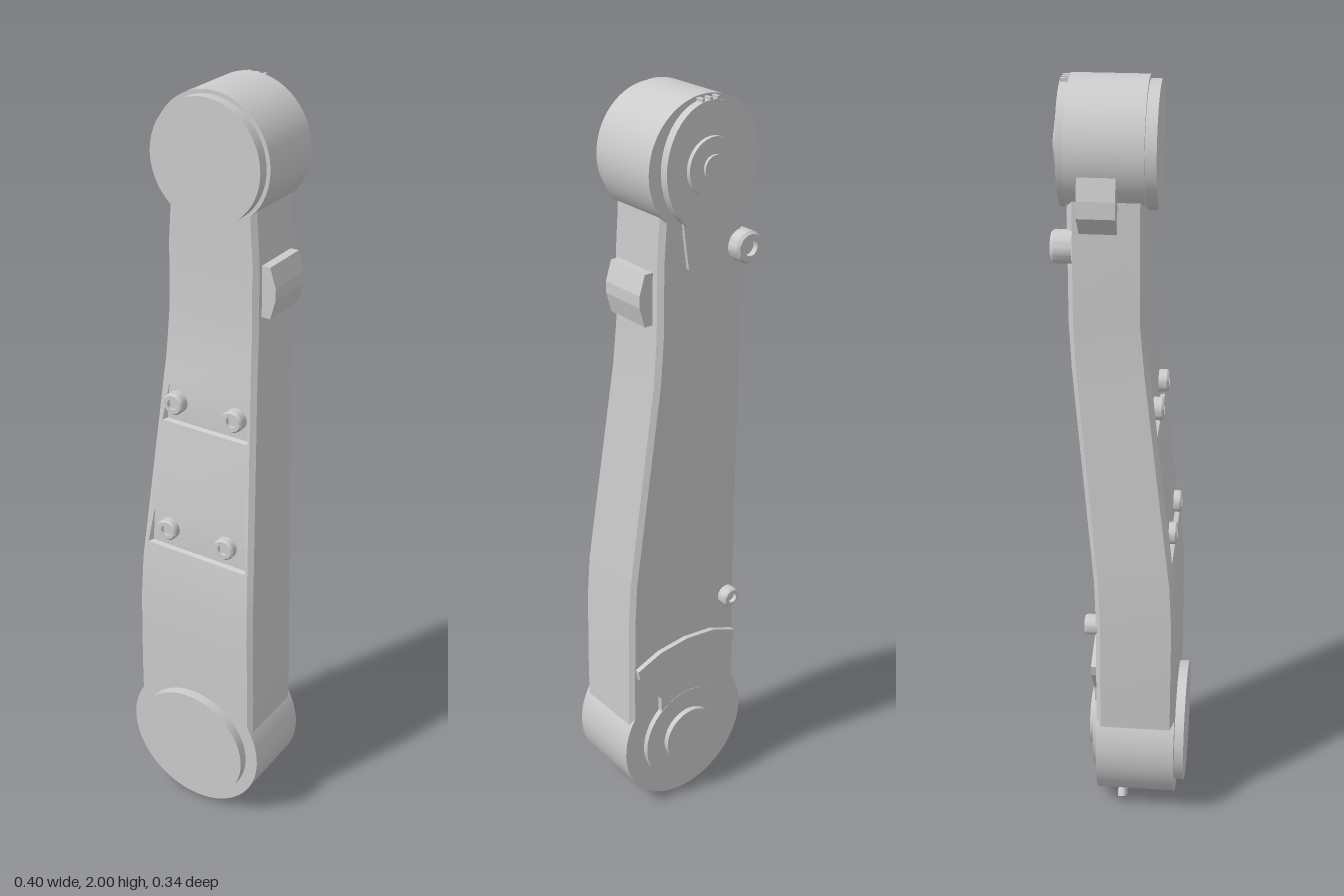
import * as THREE from 'three';
import { toCreasedNormals } from 'three/addons/utils/BufferGeometryUtils.js';

const material = new THREE.MeshStandardMaterial({ color: 0xcccccc, side: THREE.DoubleSide });

export function createModel() {
  const group = new THREE.Group();
  const add = (name, geometry, x = 0, y = 0, z = 0) => {
    const mesh = new THREE.Mesh(geometry, material);
    mesh.name = name;
    mesh.position.set(x, y, z);
    group.add(mesh);
    return mesh;
  };
  // Round disc whose axis runs along z, between two depths
  const disc = (name, y, r, z0, z1, sx = 1) => {
    const g = new THREE.CylinderGeometry(r, r, z1 - z0, 64).rotateX(Math.PI / 2);
    return add(name, g.scale(sx, 1, 1), 0, y, (z0 + z1) / 2);
  };
  // Flat shape pushed out along z
  const plate = (name, points, z0, z1) => {
    const shape = new THREE.Shape(points.map(([x, y]) => new THREE.Vector2(x, y)));
    return add(name, new THREE.ExtrudeGeometry(shape, { depth: z1 - z0, bevelEnabled: false }), 0, 0, z0);
  };

  // Arm body: tapered, S-bent loft with two pockets let into the front
  const stations = [ // y, half width, front z, back z
    [0.2, 0.18, 0.145, -0.065], [0.4, 0.18, 0.145, -0.065], [0.62, 0.176, 0.145, -0.065],
    [0.74, 0.172, 0.138, -0.069], [1.32, 0.133, 0.067, -0.122], [1.44, 0.129, 0.056, -0.128],
    [1.62, 0.127, 0.055, -0.128], [1.72, 0.12, 0.055, -0.128], [1.84, 0.12, 0.055, -0.128]];
  const sample = (y) => {
    let i = 0;
    while (i < stations.length - 2 && stations[i + 1][0] < y) i++;
    const [a, b] = [stations[i], stations[i + 1]];
    const t = (y - a[0]) / (b[0] - a[0]);
    return a.map((v, k) => v + (b[k] - v) * t);
  };
  const pockets = [[0.8, 0.9], [1.15, 1.25]];
  const levels = stations.map((s) => s[0]);
  pockets.forEach(([lo, hi]) => levels.push(lo - 0.003, lo, hi));
  levels.sort((a, b) => a - b);
  const loops = levels.map((y) => {
    const [, w, f, b] = sample(y);
    const pocket = pockets.find(([lo, hi]) => y >= lo && y <= hi);
    const floor = pocket ? sample(pocket[1])[2] : f;
    const c = 0.012;
    return [[-w, f - c], [-w + c, f], [-w + 0.018, f], [-w + 0.026, floor],
      [w - 0.026, floor], [w - 0.018, f], [w - c, f], [w, f - c],
      [w, b + c], [w - c, b], [-w + c, b], [-w, b + c]].map(([x, z]) => [x, y, z]);
  });
  const n = loops[0].length;
  const index = [];
  for (let j = 0; j < loops.length - 1; j++) {
    for (let k = 0; k < n; k++) {
      const a = j * n + k, b = j * n + (k + 1) % n;
      index.push(a, b, b + n, a, b + n, a + n);
    }
  }
  const bodyGeometry = new THREE.BufferGeometry();
  bodyGeometry.setAttribute('position', new THREE.Float32BufferAttribute(loops.flat(2), 3));
  bodyGeometry.setIndex(index);
  add('armBody', toCreasedNormals(bodyGeometry, 0.4));

  // Lower joint housing with its front cap and stepped back cover
  disc('lowerHousing', 0.209, 0.201, -0.065, 0.145);
  disc('lowerFrontCap', 0.205, 0.165, 0.145, 0.17);
  disc('lowerBackCover', 0.207, 0.14, -0.08, -0.065);
  disc('lowerBackHub', 0.207, 0.08, -0.095, -0.08);
  plate('lowerBackNeck', [[-0.085, 0.24], [0.085, 0.24], [0.09, 0.36], [0.16, 0.45], [0.165, 0.48],
    [0.09, 0.51], [0, 0.52], [-0.09, 0.51], [-0.165, 0.48], [-0.16, 0.45], [-0.09, 0.36]], -0.079, -0.06);

  // Upper joint housing with its front cap and stepped back cover
  disc('upperHousing', 1.84, 0.16, -0.13, 0.055);
  disc('upperFrontCap', 1.84, 0.15, 0.055, 0.082);
  disc('upperBackCover', 1.84, 0.15, -0.152, -0.13, 0.84);
  disc('upperBackHub', 1.84, 0.07, -0.163, -0.152);
  disc('upperBackBoss', 1.84, 0.03, -0.17, -0.163);
  plate('upperBackNeck', [[-0.05, 1.6], [0.05, 1.6], [0.07, 1.74], [-0.07, 1.74]], -0.137, -0.12);
  for (const x of [-0.022, 0, 0.022]) {
    add('upperRib', new THREE.BoxGeometry(0.008, 0.02, 0.02), x, 1.985, -0.14);
  }

  // Hollow sockets: a ring with a recessed centre, axis along z
  const socket = (name, x, y, z, r, length, back) => {
    const profile = [[r, 0], [r, length * 0.85], [r * 0.85, length], [r * 0.5, length],
      [r * 0.5, length * 0.7], [0, length * 0.7]].map(([a, b]) => new THREE.Vector2(a, b));
    const g = toCreasedNormals(new THREE.LatheGeometry(profile, 24), 0.5);
    add(name, g.rotateX(back ? -Math.PI / 2 : Math.PI / 2), x, y, z);
  };
  for (const x of [-0.087, 0.087]) {
    socket('upperFrontSocket', x, 1.205, 0.066, 0.029, 0.036);
    socket('lowerFrontSocket', x, 0.855, 0.109, 0.029, 0.031);
  }
  socket('lowerBackSocket', -0.143, 0.6, -0.055, 0.027, 0.04, true);
  socket('upperBackSocket', -0.115, 1.625, -0.115, 0.04, 0.05, true);

  // Raised pad on one side and a fin on the other
  plate('sidePad', [[0.12, 1.47], [0.152, 1.47], [0.166, 1.52], [0.166, 1.55], [0.15, 1.6], [0.12, 1.6]], -0.1, 0.032);
  plate('sideFin', [[-0.11, 1.64], [-0.125, 1.66], [-0.173, 1.71], [-0.17, 1.75], [-0.153, 1.81], [-0.11, 1.81]], -0.1, -0.01);

  // Short connector stubs under the lower housing
  for (const angle of [-0.45, -0.62]) {
    const stub = add('bottomStub', new THREE.CylinderGeometry(0.012, 0.012, 0.05, 16),
      Math.sin(angle) * 0.2, 0.209 - Math.cos(angle) * 0.2, 0);
    stub.rotation.z = angle;
  }
  return group;
}
